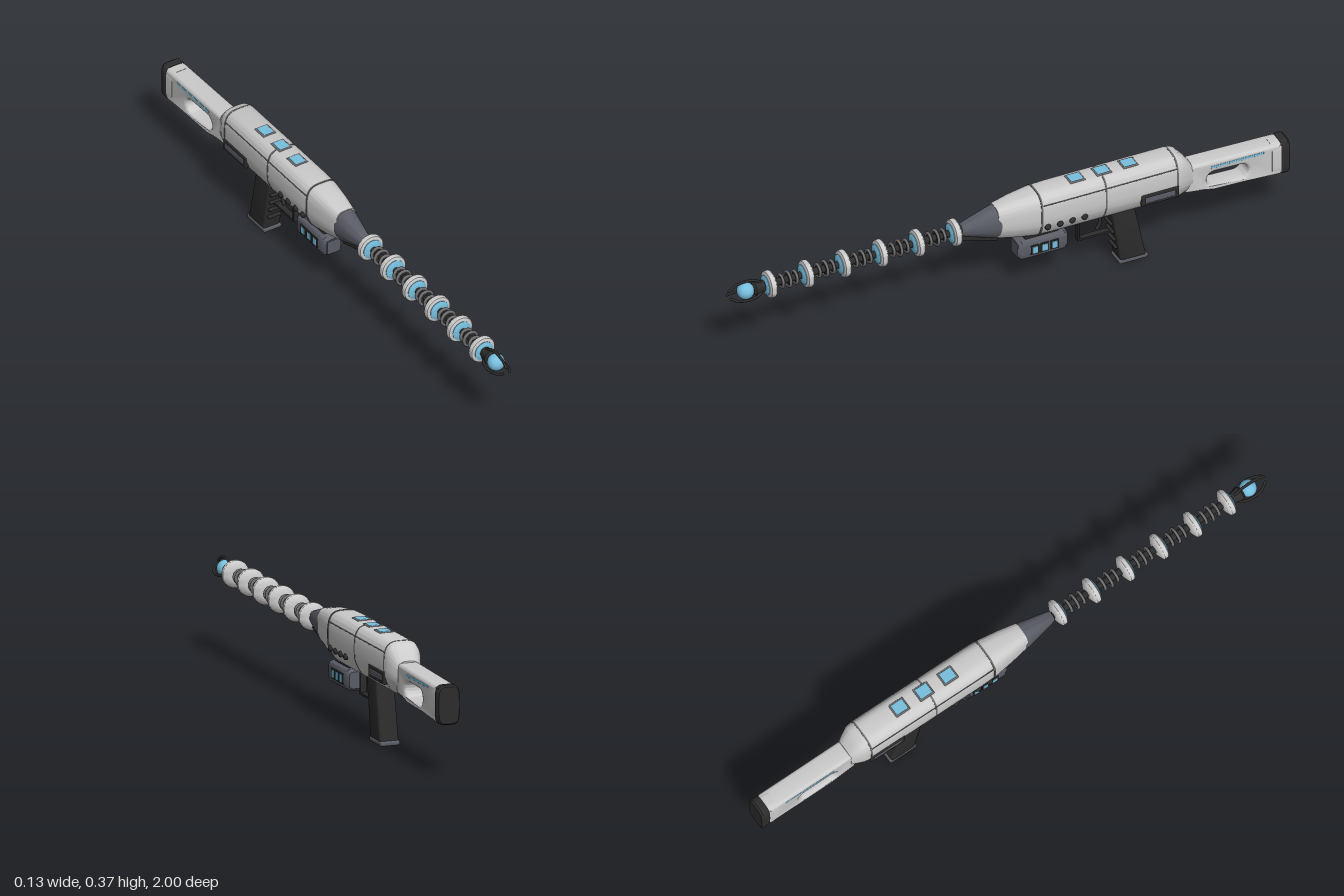
import * as THREE from 'three';
import { toCreasedNormals } from 'three/addons/utils/BufferGeometryUtils.js';
import { RoundedBoxGeometry } from 'three/addons/geometries/RoundedBoxGeometry.js';

const mat = (color) => new THREE.MeshStandardMaterial({ color });
const grey = mat(0xcccccc), steel = mat(0x5a5c66), dark = mat(0x2c2c2c), blue = mat(0x78bfde), seamGrey = mat(0x6c6c6e);
const AXIS_Y = 0.287; // height of the barrel axis

// Closed loft along z. Each section is [z, halfWidth, bottom, top], front to back;
// the outline is a superellipse whose underside is pinched by "pinch".
function loft(sections, power = 3.4, pinch = 0, n = 48) {
  const pos = [], idx = [];
  const bend = (v) => Math.sign(v) * Math.pow(Math.abs(v), 2 / power);
  for (const [z, w, y0, y1] of sections) {
    for (let j = 0; j < n; j++) {
      const a = (j / n) * Math.PI * 2, v = bend(Math.sin(a));
      const x = w * bend(Math.cos(a)) * (1 - pinch * Math.max(0, -v - 0.25));
      pos.push(x, (y0 + y1) / 2 + v * (y1 - y0) / 2, z);
    }
  }
  for (let i = 0; i < sections.length - 1; i++) {
    for (let j = 0; j < n; j++) {
      const a = i * n + j, b = i * n + (j + 1) % n;
      idx.push(a, a + n, b, b, a + n, b + n);
    }
  }
  const last = sections.length - 1;
  for (const i of [0, last]) {
    const c = pos.length / 3, [z, , y0, y1] = sections[i];
    pos.push(0, (y0 + y1) / 2, z);
    for (let j = 0; j < n; j++) {
      const a = i * n + j, b = i * n + (j + 1) % n;
      if (i === 0) idx.push(c, a, b); else idx.push(c, b, a);
    }
  }
  const g = new THREE.BufferGeometry();
  g.setAttribute('position', new THREE.Float32BufferAttribute(pos, 3));
  g.setIndex(idx);
  return toCreasedNormals(g, 0.6);
}

// Side outline given as [z, y] points, extruded across x with a small bevel
function sidePlate(points, halfWidth, bevel, hole) {
  const shape = new THREE.Shape(points.map(([z, y]) => new THREE.Vector2(-z, y)));
  if (hole) shape.holes.push(hole);
  const g = new THREE.ExtrudeGeometry(shape, {
    depth: 2 * (halfWidth - bevel), bevelSize: bevel, bevelThickness: bevel,
    bevelOffset: -bevel, bevelSegments: 4, curveSegments: 16,
  });
  g.translate(0, 0, bevel - halfWidth).rotateY(Math.PI / 2);
  return toCreasedNormals(g, 0.5);
}

// Lathe around z from [radius, z] points, running back to front
function latheZ(points, segments = 36) {
  const g = new THREE.LatheGeometry(points.map(([r, z]) => new THREE.Vector2(r, z)), segments);
  return toCreasedNormals(g.rotateX(Math.PI / 2), 0.6);
}

export function createModel() {
  const model = new THREE.Group();
  const add = (name, geo, material, x = 0, y = 0, z = 0, parent = model) => {
    const m = new THREE.Mesh(geo, material);
    m.name = name;
    m.position.set(x, y, z);
    parent.add(m);
    return m;
  };
  const box = (w, h, d, r = 0.004) => new RoundedBoxGeometry(w, h, d, 3, r);
  const tube = (pts, r, curved = true) => {
    const v = pts.map((p) => new THREE.Vector3(...p));
    return new THREE.TubeGeometry(new THREE.CatmullRomCurve3(v, false, 'catmullrom', curved ? 0.5 : 0), 32, r, 10);
  };

  // Receiver body and nose
  add('body', loft([
    [0.045, 0.039, 0.226, 0.347], [-0.02, 0.05, 0.212, 0.36], [-0.09, 0.059, 0.2, 0.368],
    [-0.15, 0.061, 0.198, 0.37], [-0.59, 0.061, 0.196, 0.37], [-0.61, 0.058, 0.2, 0.363],
    [-0.635, 0.046, 0.208, 0.335], [-0.65, 0.038, 0.213, 0.315],
  ], 3.4, 0.45), grey);
  add('noseCone', loft([
    [0.165, 0.016, 0.27, 0.308], [0.155, 0.021, 0.264, 0.314], [0.05, 0.041, 0.228, 0.346], [0.035, 0.041, 0.228, 0.346],
  ], 2.4, 0.2), steel);
  const rib = add('noseRib', box(0.014, 0.016, 0.14), dark, 0, 0.238, 0.1);
  rib.rotation.x = -0.3;

  // Panel seams around the body
  for (const z of [-0.1, -0.33, -0.585]) {
    const k = z === -0.1 ? 0.0005 : 0.0008;
    add('bodySeam', loft([[z + 0.003, 0.061 + k, 0.198 - k, 0.37 + k], [z - 0.003, 0.061 + k, 0.197 - k, 0.37 + k]], 3.4, 0.45), seamGrey);
  }

  // Top windows
  for (const z of [-0.245, -0.34, -0.435]) {
    add('windowFrame', box(0.05, 0.01, 0.056), seamGrey, 0, 0.367, z);
    add('topWindow', box(0.04, 0.01, 0.046), blue, 0, 0.3685, z);
  }

  // Mirrored side details
  for (const s of [-1, 1]) {
    for (let i = 0; i < 4; i++) {
      add('sideStud', new THREE.SphereGeometry(0.011, 16, 12).scale(0.75, 1, 1), dark, s * 0.059, 0.25, -0.12 - i * 0.044);
    }
    add('sidePanel', box(0.012, 0.042, 0.135), dark, s * 0.0575, 0.249, -0.522);
    add('sidePanelInset', box(0.012, 0.022, 0.11), steel, s * 0.059, 0.249, -0.522);
    add('sideSeam', box(0.004, 0.003, 0.48, 0.001), seamGrey, s * 0.0575, 0.335, -0.345);
    add('stockLight', box(0.006, 0.009, 0.19, 0.002), blue, s * 0.034, 0.286, -0.81);
    for (const z of [-0.085, -0.12, -0.155]) {
      add('foregripLightFrame', box(0.006, 0.036, 0.03, 0.002), dark, s * 0.0345, 0.157, z);
      add('foregripLight', box(0.006, 0.026, 0.02, 0.002), blue, s * 0.036, 0.157, z);
    }
  }

  // Shoulder stock with a slot through it
  const slot = new THREE.Path();
  slot.absarc(0.73, 0.238, 0.027, Math.PI / 2, Math.PI * 1.5);
  slot.absarc(0.825, 0.235, 0.027, -Math.PI / 2, Math.PI / 2);
  add('stock', sidePlate([[-0.63, 0.31], [-0.63, 0.208], [-0.72, 0.196], [-0.97, 0.181], [-0.97, 0.302]], 0.036, 0.012, slot), grey);
  add('stockEndBand', loft([[-0.935, 0.037, 0.181, 0.304], [-0.975, 0.037, 0.179, 0.304]], 5), grey);
  add('buttPad', loft([
    [-0.968, 0.037, 0.178, 0.306], [-0.973, 0.039, 0.176, 0.308], [-0.993, 0.039, 0.176, 0.308], [-1, 0.035, 0.181, 0.303],
  ], 4.5), dark);

  // Pistol grip with finger ridges and foot plate
  add('grip', sidePlate([[-0.36, 0.215], [-0.395, 0.01], [-0.487, 0.01], [-0.445, 0.215]], 0.033, 0.01), dark);
  for (let i = 0; i < 4; i++) {
    const y = 0.065 + i * 0.032;
    add('gripRidge', box(0.05, 0.01, 0.016), dark, 0, y, -0.394 + y * 0.165);
  }
  add('gripFoot', box(0.068, 0.016, 0.104, 0.006), steel, 0, 0.008, -0.441);

  // Trigger guard and trigger
  const guard = [[0.125, 0.008, -0.317, 0.134], [0.16, 0.075, -0.254, 0.008]];
  add('triggerGuardBase', box(0.022, 0.008, 0.134, 0.002), dark, 0, guard[0][0], guard[0][2]);
  add('triggerGuardPost', box(0.022, guard[1][1], 0.008, 0.002), dark, 0, guard[1][0], guard[1][2]);
  add('trigger', tube([[0, 0.2, -0.33], [0, 0.175, -0.335], [0, 0.155, -0.331], [0, 0.142, -0.322]], 0.006), dark);

  // Foregrip pod under the body
  add('foregrip', loft([
    [-0.03, 0.028, 0.13, 0.186], [-0.042, 0.035, 0.121, 0.194], [-0.193, 0.035, 0.121, 0.194], [-0.205, 0.028, 0.13, 0.186],
  ], 4), steel);
  add('foregripFace', box(0.05, 0.05, 0.006, 0.002), steel, 0, 0.158, -0.03);
  add('foregripMount', box(0.036, 0.03, 0.12), dark, 0, 0.198, -0.118);
  add('foregripFoot', box(0.03, 0.008, 0.03, 0.002), dark, 0, 0.12, -0.07);

  // Barrel rod with repeated accelerator rings and small coils
  const barrel = new THREE.Group();
  barrel.name = 'barrel';
  barrel.position.y = AXIS_Y;
  model.add(barrel);
  add('barrelRod', new THREE.CylinderGeometry(0.012, 0.012, 0.74, 20).rotateX(Math.PI / 2), dark, 0, 0, 0.52, barrel);
  for (let i = 0; i < 6; i++) {
    const z = 0.188 + i * 0.1325;
    add('barrelRing', latheZ([[0.012, -0.018], [0.026, -0.018], [0.044, -0.009], [0.046, -0.006], [0.046, 0.006], [0.044, 0.009], [0.034, 0.013], [0.012, 0.013]]), grey, 0, 0, z, barrel);
    add('barrelRingGlow', latheZ([[0.034, 0.008], [0.034, 0.015], [0.024, 0.02], [0.012, 0.02]]), blue, 0, 0, z, barrel);
    if (i === 5) continue;
    for (const [dz, r] of [[0.041, 0.021], [0.066, 0.025], [0.091, 0.021]]) {
      add('barrelCoil', new THREE.TorusGeometry(r, 0.005, 10, 32), seamGrey, 0, 0, z + dz, barrel);
      add('coilHub', new THREE.CylinderGeometry(r, r, 0.004, 24).rotateX(Math.PI / 2), dark, 0, 0, z + dz, barrel);
    }
  }

  // Tip: cup, glowing ball and three curved prongs
  add('tipCup', latheZ([[0, 0.862], [0.018, 0.862], [0.02, 0.885], [0.024, 0.905], [0.018, 0.912], [0, 0.912]]), dark, 0, 0, 0, barrel);
  add('tipBall', new THREE.SphereGeometry(0.029, 32, 24), blue, 0, 0, 0.936, barrel);
  for (let i = 0; i < 3; i++) {
    const prong = add('tipProng', tube([[0, 0.016, 0.88], [0, 0.03, 0.903], [0, 0.036, 0.937], [0, 0.03, 0.972], [0, 0.014, 0.996]], 0.0045), dark, 0, 0, 0, barrel);
    prong.rotation.z = (i * Math.PI * 2) / 3;
    const end = add('prongEnd', new THREE.SphereGeometry(0.0045, 10, 8), dark, 0, 0.014, 0.9955, prong);
    end.name = 'prongEnd';
  }
  return model;
}
